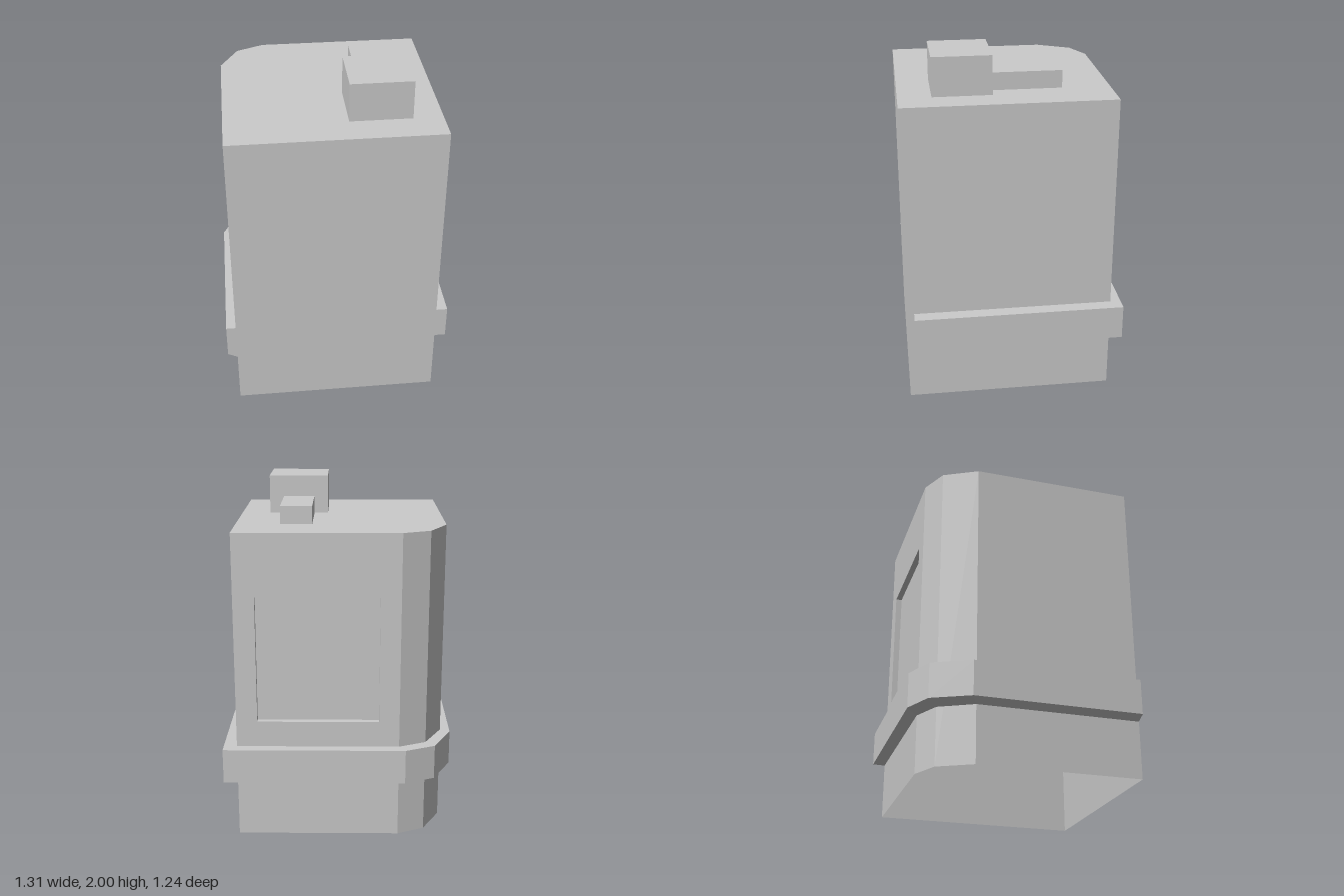
import * as THREE from 'three';

const material = new THREE.MeshStandardMaterial({ color: 0xcccccc, flatShading: true, side: THREE.DoubleSide });

// Joins rows of [x, y, z] points into faceted strips of quads.
function loft(rows, skip = -1) {
  const pos = [];
  for (let r = 0; r < rows.length - 1; r++) {
    const low = rows[r], high = rows[r + 1];
    for (let i = 0; i < low.length - 1; i++) {
      if (i === skip) continue;
      pos.push(...low[i], ...low[i + 1], ...high[i + 1], ...low[i], ...high[i + 1], ...high[i]);
    }
  }
  const g = new THREE.BufferGeometry();
  g.setAttribute('position', new THREE.Float32BufferAttribute(pos, 3));
  g.computeVertexNormals();
  return g;
}

const atHeight = (path, y) => path.map(([x, z]) => [x, y, z]);

export function createModel() {
  const model = new THREE.Group();
  const add = (name, geometry, x = 0, y = 0, z = 0) => {
    const mesh = new THREE.Mesh(geometry, material);
    mesh.name = name;
    mesh.position.set(x, y, z);
    model.add(mesh);
  };
  const block = (name, x0, x1, y0, y1, z0, z1) =>
    add(name, new THREE.BoxGeometry(x1 - x0, y1 - y0, z1 - z0), (x0 + x1) / 2, (y0 + y1) / 2, (z0 + z1) / 2);

  const H = 1.78, back = -0.56, front = 0.62;

  // Hollow tower with one bevelled corner, open underneath
  const outline = [[0.58, front], [0.58, back], [-0.345, back], [-0.5, -0.49], [-0.6, -0.3], [-0.6, front]];
  const closed = [...outline, outline[0]];
  add('walls', loft([atHeight(closed, 0), atHeight(closed, H)], 1));
  const roof = new THREE.Shape(outline.map(([x, z]) => new THREE.Vector2(x, -z)));
  add('roof', new THREE.ShapeGeometry(roof).rotateX(-Math.PI / 2), 0, H, 0);

  // Back wall with a shallow recessed window
  const wx0 = -0.23, wx1 = 0.46, wy0 = 0.7, wy1 = 1.425, depth = 0.035;
  const rect = (x0, x1, y0, y1) => [[x0, y0], [x1, y0], [x1, y1], [x0, y1]].map(p => new THREE.Vector2(...p));
  const backWall = new THREE.Shape(rect(-0.58, 0.345, 0, H));
  backWall.holes.push(new THREE.Path(rect(-wx1, -wx0, wy0, wy1)));
  add('backWall', new THREE.ShapeGeometry(backWall).rotateY(Math.PI), 0, 0, back);
  const rim = z => [[wx0, wy0, z], [wx1, wy0, z], [wx1, wy1, z], [wx0, wy1, z], [wx0, wy0, z]];
  add('windowFrame', loft([rim(back), rim(back + depth)]));
  add('windowPanel', new THREE.PlaneGeometry(wx1 - wx0, wy1 - wy0).rotateY(Math.PI),
    (wx0 + wx1) / 2, (wy0 + wy1) / 2, back + depth);

  // Ledge around three sides, with a sloping underside and closed front ends
  const outer = [[0.58, 0.58], [0.655, 0.58], [0.655, -0.62], [-0.38, -0.62], [-0.55, -0.545],
    [-0.655, -0.33], [-0.655, front], [-0.6, front]];
  const inner = z => [[0.58, z], [0.58, z], [0.58, back], ...outline.slice(2), outline[5]];
  add('ledge', loft([atHeight(inner(0.53), 0.325), atHeight(outer, 0.35),
    atHeight(outer, 0.55), atHeight(inner(0.58), 0.55)]));

  // Rooftop blocks
  block('tallRoofBlock', 0.07, 0.415, H, 2, 0.105, 0.435);
  block('lowRoofBlock', 0.15, 0.33, H, 1.88, -0.29, 0.1);

  return model;
}
